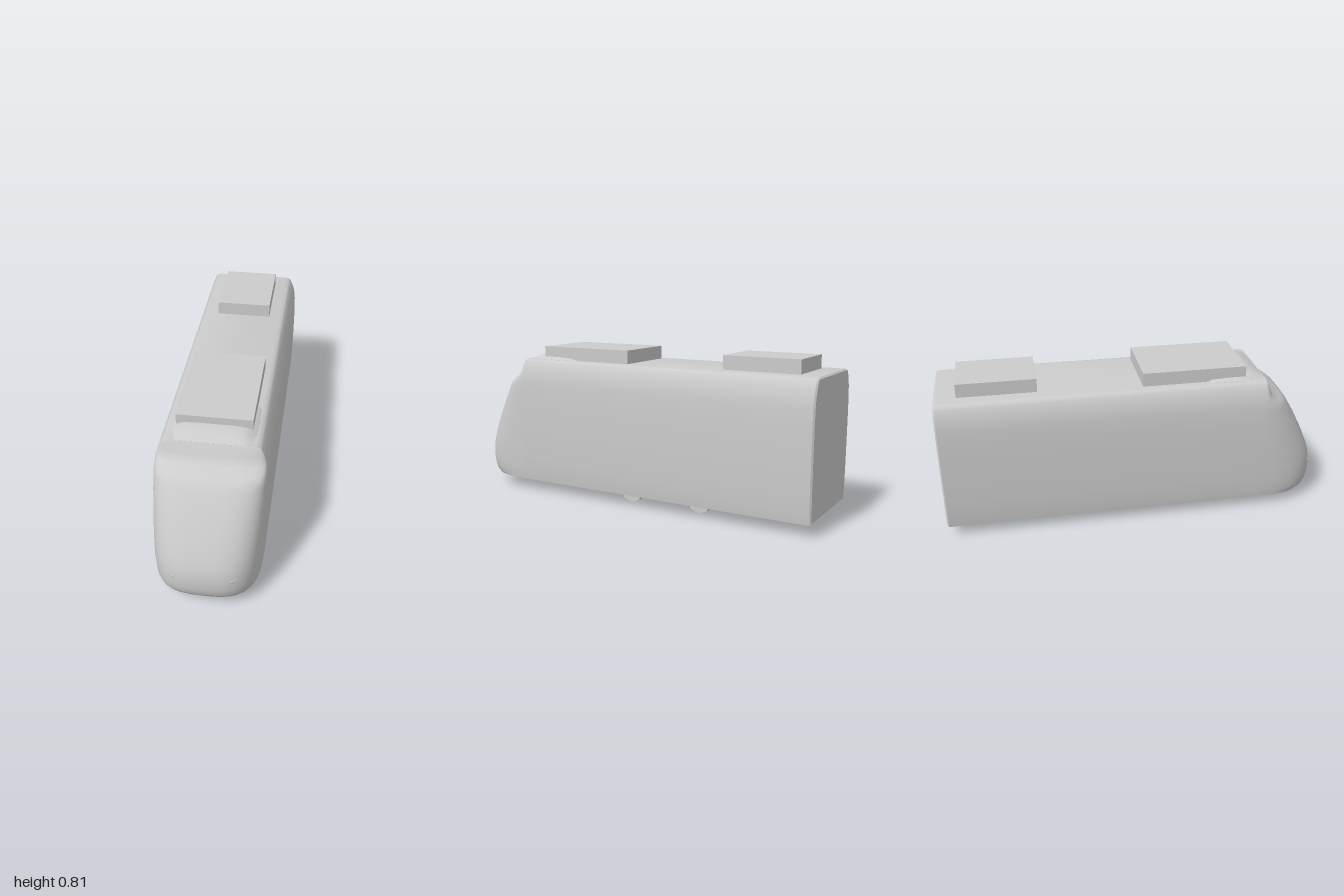
import * as THREE from 'three';
import { toCreasedNormals } from 'three/addons/utils/BufferGeometryUtils.js';

// Closed solid through matching rings of [x, y, z], capped at both ends
function loft(rings, crease = 0.7) {
  const n = rings[0].length, pos = [], index = [];
  rings.forEach(r => r.forEach(p => pos.push(...p)));
  for (let i = 0; i < rings.length - 1; i++) {
    for (let j = 0; j < n; j++) {
      const k = (j + 1) % n, a = i * n, d = a + n;
      index.push(a + j, a + k, d + k, a + j, d + k, d + j);
    }
  }
  [0, rings.length - 1].forEach(i => {
    const c = pos.length / 3;
    pos.push(...[0, 1, 2].map(q => rings[i].reduce((s, p) => s + p[q], 0) / n));
    for (let j = 0; j < n; j++) {
      const a = i * n + j, b = i * n + (j + 1) % n;
      index.push(c, i ? a : b, i ? b : a);
    }
  });
  const g = new THREE.BufferGeometry();
  g.setAttribute('position', new THREE.Float32BufferAttribute(pos, 3));
  g.setIndex(index);
  return toCreasedNormals(g, crease);
}

// Piecewise linear lookup in [[key, value], ...]
function lookup(table, k) {
  let i = 0;
  while (i < table.length - 2 && k > table[i + 1][0]) i++;
  const [k0, v0] = table[i], [k1, v1] = table[i + 1];
  return THREE.MathUtils.lerp(v0, v1, THREE.MathUtils.clamp((k - k0) / (k1 - k0), 0, 1));
}

// Body section as [height, half width]
const section = [[0.058, 0.252], [0.1, 0.258], [0.2, 0.263], [0.35, 0.265], [0.5, 0.265], [0.6, 0.262],
  [0.65, 0.256], [0.69, 0.244], [0.72, 0.231], [0.731, 0.221], [0.735, 0.2]];
// Nose side profile as [height, front z]
const profile = [[0.058, 0.955], [0.075, 0.98], [0.1, 0.993], [0.14, 1], [0.2, 1], [0.25, 0.99], [0.3, 0.973],
  [0.4, 0.927], [0.5, 0.873], [0.58, 0.824], [0.605, 0.805], [0.625, 0.775], [0.65, 0.722], [0.67, 0.704],
  [0.7, 0.69], [0.735, 0.672]];
const JOIN = 0.668;

const noseFront = (x, y) => {
  const t = Math.min(1, Math.abs(x) / lookup(section, y));
  return JOIN + (lookup(profile, y) - JOIN) * Math.cbrt(1 - t ** 3);
};

export function createModel() {
  const model = new THREE.Group();
  const grey = new THREE.MeshStandardMaterial({ name: 'bodyGrey', color: 0xcccccc });
  const add = (name, geometry, x = 0, y = 0, z = 0) => {
    const mesh = new THREE.Mesh(geometry, grey);
    mesh.name = name;
    mesh.position.set(x, y, z);
    model.add(mesh);
    return mesh;
  };

  // Long carriage body with a slightly eased rear edge
  const bodyRing = (z, inset) => {
    const half = section.map(([y, w]) => [w - inset, THREE.MathUtils.clamp(y, 0.058 + inset, 0.735 - inset), z]);
    return [...half, ...half.slice().reverse().map(([x, y]) => [-x, y, z])];
  };
  add('body', loft([bodyRing(-1, 0.008), bodyRing(-0.992, 0), bodyRing(JOIN, 0)]));

  // Rounded nose: superellipse outlines stacked by height
  const levels = [...new Set([...profile, ...section].map(p => p[0]))].sort((a, b) => a - b);
  const STEPS = 28;
  const nose = levels.map(y => {
    const w = lookup(section, y), d = lookup(profile, y) - JOIN, ring = [];
    for (let j = 0; j <= STEPS; j++) {
      const a = Math.PI * (1 - j / STEPS), c = Math.cos(a), s = Math.max(0, Math.sin(a));
      ring.push([w * Math.sign(c) * Math.abs(c) ** (2 / 3), y, JOIN + d * s ** (2 / 3)]);
    }
    return ring;
  });
  add('nose', loft(nose));

  // Low roof fairing under the front roof box: [z, base half width, top half width, top height]
  const fairing = [[0.35, 0.18, 0.13, 0.737], [0.39, 0.198, 0.145, 0.757], [0.48, 0.2, 0.145, 0.765],
    [0.57, 0.198, 0.142, 0.768], [0.61, 0.186, 0.14, 0.761], [0.64, 0.175, 0.14, 0.75], [0.668, 0.165, 0.14, 0.736]];
  add('roofFairing', loft(fairing.map(([z, b, t, y]) => {
    const mid = 0.735 + (y - 0.735) * 0.6;
    const half = [[b, 0.73], [b, 0.7355], [(b + t) / 2, mid], [t, y - (y - 0.735) * 0.12], [t * 0.6, y]];
    return [...half, ...half.slice().reverse().map(([x, h]) => [-x, h])].map(([x, h]) => [x, h, z]);
  })));

  // Roof equipment boxes
  add('frontRoofBox', new THREE.BoxGeometry(0.356, 0.075, 0.535), 0, 0.7675, 0.3);
  add('rearRoofBox', new THREE.BoxGeometry(0.29, 0.075, 0.395), 0, 0.7675, -0.692);

  for (const side of [-1, 1]) {
    // Eight-sided wheels half hidden in the floor
    for (const z of [0.01, -0.39]) {
      const wheel = new THREE.CylinderGeometry(0.065, 0.065, 0.022, 8).rotateZ(Math.PI / 2);
      add('wheel', wheel, side * 0.167, 0.065, z);
    }
    // Small lamps set nearly flush in the nose
    for (const [x, y, r] of [[0.154, 0.2, 0.007], [0.138, 0.193, 0.009]]) {
      const lamp = add('headlight', new THREE.SphereGeometry(r, 12, 8), side * x, y, noseFront(x, y));
      lamp.scale.z = 0.3;
      lamp.rotation.y = side * 0.35;
    }
  }
  return model;
}
